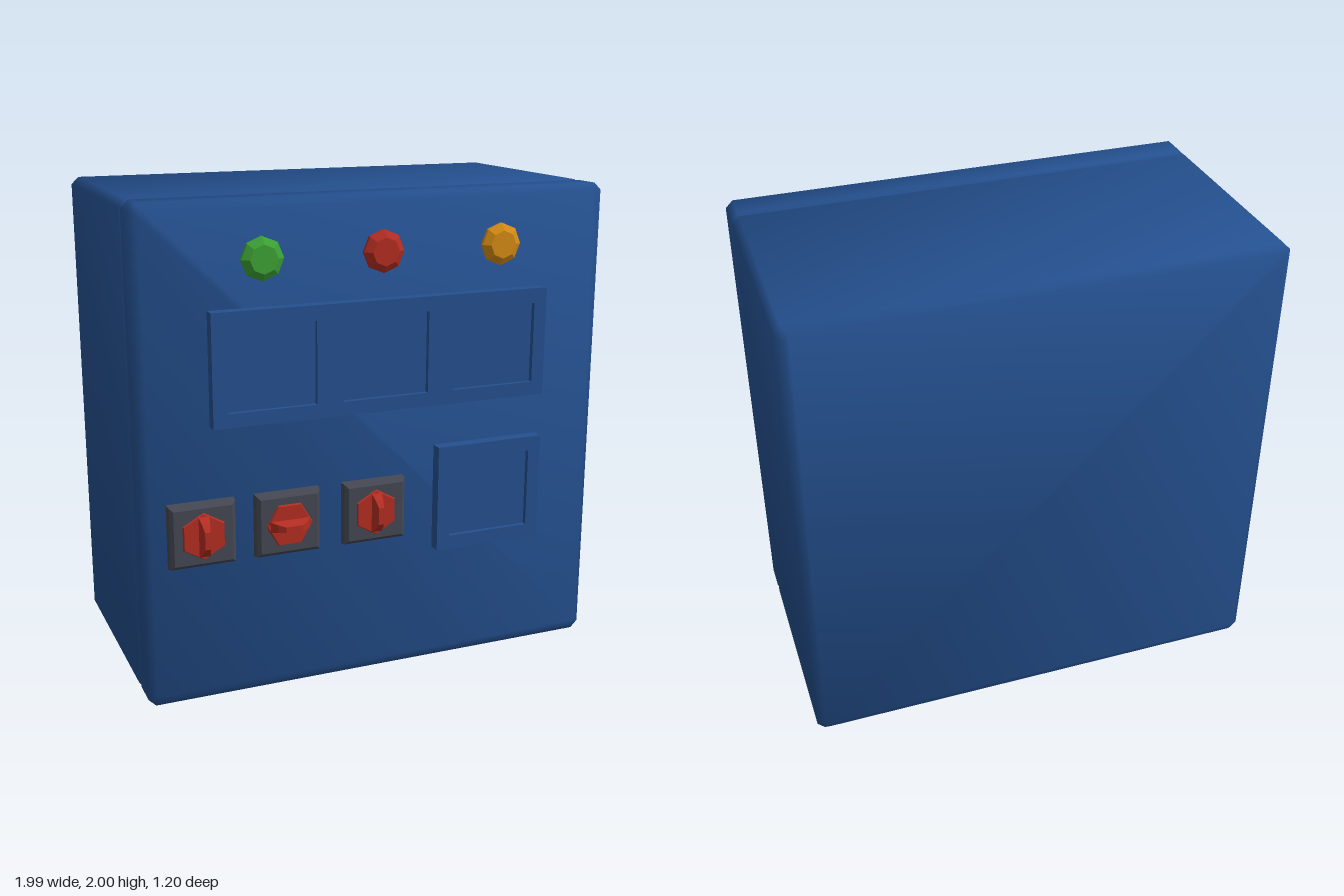
import * as THREE from 'three';

const mat = (name, color) => {
  const m = new THREE.MeshStandardMaterial({ color });
  m.name = name;
  return m;
};

// Closed solid through chamfered rectangles stacked along z: [z, halfWidth, halfHeight, chamfer]
function loft(rings, smooth = false) {
  const pos = [], index = [];
  for (const [z, w, h, c] of rings) {
    const corners = [[w, -h + c], [w, h - c], [w - c, h], [-w + c, h], [-w, h - c], [-w, -h + c], [-w + c, -h], [w - c, -h]];
    for (const [x, y] of corners) pos.push(x, y, z);
  }
  for (let r = 0; r < rings.length - 1; r++) {
    for (let i = 0; i < 8; i++) {
      const a = r * 8 + i, b = r * 8 + (i + 1) % 8;
      index.push(a, b, b + 8, a, b + 8, a + 8);
    }
  }
  const last = (rings.length - 1) * 8;
  for (let i = 1; i < 7; i++) index.push(0, i + 1, i, last, last + i, last + i + 1);
  const geo = new THREE.BufferGeometry();
  geo.setAttribute('position', new THREE.Float32BufferAttribute(pos, 3));
  geo.setIndex(index);
  if (!smooth) {
    const flat = geo.toNonIndexed();
    flat.computeVertexNormals();
    return flat;
  }
  // Angle-weighted normals give soft shading running across the large faces
  const points = [], normals = [];
  for (let i = 0; i < pos.length; i += 3) {
    points.push(new THREE.Vector3().fromArray(pos, i));
    normals.push(new THREE.Vector3());
  }
  for (let t = 0; t < index.length; t += 3) {
    const tri = index.slice(t, t + 3);
    const n = new THREE.Triangle(...tri.map(i => points[i])).getNormal(new THREE.Vector3());
    tri.forEach((v, k) => {
      const e1 = points[tri[(k + 1) % 3]].clone().sub(points[v]);
      const e2 = points[tri[(k + 2) % 3]].clone().sub(points[v]);
      normals[v].addScaledVector(n, e1.angleTo(e2));
    });
  }
  const flatNormals = normals.flatMap(n => n.normalize().toArray());
  geo.setAttribute('normal', new THREE.Float32BufferAttribute(flatNormals, 3));
  return geo;
}

const rectPoints = (x0, x1, y0, y1) =>
  [[x0, y0], [x1, y0], [x1, y1], [x0, y1]].map(p => new THREE.Vector2(...p));

// Faceted disc with its axis along z
function facetedDisc(rTop, rBottom, depth, sides, z) {
  const geo = new THREE.CylinderGeometry(rTop, rBottom, depth, sides).toNonIndexed();
  geo.computeVertexNormals();
  return geo.rotateX(Math.PI / 2).rotateZ(Math.PI / 2).translate(0, 0, z);
}

export function createModel() {
  const blue = mat('cabinetBlue', 0x24508f);
  const grey = mat('switchGrey', 0x444852);
  const red = mat('signalRed', 0xb52d22);
  const green = mat('signalGreen', 0x3ca335);
  const amber = mat('signalAmber', 0xd68c14);

  const model = new THREE.Group();
  model.name = 'controlCabinet';
  const add = (parent, name, geo, material, x = 0, y = 0, z = 0) => {
    const mesh = new THREE.Mesh(geo, material);
    mesh.name = name;
    mesh.position.set(x, y, z);
    parent.add(mesh);
    return mesh;
  };

  // Cabinet body and door, with a small groove between them
  const W = 0.993, H = 1, C = 0.03;
  const ring = (z, inset) => [z, W - inset, H - inset, C - inset * 0.3];
  add(model, 'cabinetBody', loft([ring(-0.6, 0.03), ring(-0.57, 0), ring(0.315, 0), ring(0.335, 0.015)], true), blue, 0, 1);
  add(model, 'door', loft([ring(0.335, 0.015), ring(0.353, 0), ring(0.47, 0), ring(0.5, 0.03)], true), blue, 0, 1);

  // Raised panels with shallow square recesses
  function panel(name, x0, x1, y0, y1, windows) {
    const group = new THREE.Group();
    group.name = name;
    model.add(group);
    add(group, 'panelBase', new THREE.BoxGeometry(x1 - x0, y1 - y0, 0.035), blue, (x0 + x1) / 2, (y0 + y1) / 2, 0.5125);
    const shape = new THREE.Shape(rectPoints(x0, x1, y0, y1));
    for (const x of windows) {
      shape.holes.push(new THREE.Path(rectPoints(x, x + 0.363, y0 + 0.057, y1 - 0.06).reverse()));
    }
    add(group, 'panelFrame', new THREE.ExtrudeGeometry(shape, { depth: 0.02, bevelEnabled: false }), blue, 0, 0, 0.53);
  }
  panel('meterPanel', -0.718, 0.709, 1.145, 1.594, [-0.66, -0.185, 0.291]);
  panel('lowerPanel', 0.234, 0.709, 0.515, 0.963, [0.291]);

  // Indicator lamps
  [['greenLamp', green, -0.505], ['redLamp', red, -0.01], ['amberLamp', amber, 0.502]].forEach(([name, material, x]) => {
    const lamp = new THREE.Group();
    lamp.name = name;
    lamp.position.set(x, 1.78, 0);
    model.add(lamp);
    add(lamp, 'lampBase', facetedDisc(0.085, 0.075, 0.015, 8, 0.5075), material);
    add(lamp, 'lampRim', facetedDisc(0.085, 0.085, 0.015, 8, 0.5225), material);
    add(lamp, 'lampLens', facetedDisc(0.056, 0.085, 0.02, 8, 0.54), material);
  });

  // Rotary switches; the middle one is turned sideways
  [[-0.766, 0], [-0.414, Math.PI / 2], [-0.042, 0]].forEach(([x, turn], i) => {
    const sw = new THREE.Group();
    sw.name = 'rotarySwitch' + (i + 1);
    sw.position.set(x, 0.722, 0);
    model.add(sw);
    add(sw, 'switchPlate', loft([[0.5, 0.136, 0.131, 0], [0.53, 0.132, 0.127, 0], [0.542, 0.118, 0.113, 0]]), grey);
    const knob = new THREE.Group();
    knob.name = 'knob';
    knob.rotation.z = turn;
    sw.add(knob);
    add(knob, 'knobDisc', facetedDisc(0.092, 0.098, 0.012, 6, 0.545).rotateZ(Math.PI / 2), red);
    add(knob, 'knobHandle', loft([
      [0.54, 0.023, 0.088, 0], [0.555, 0.021, 0.08, 0], [0.58, 0.016, 0.06, 0], [0.6, 0.011, 0.035, 0],
    ]), red);
  });

  return model;
}
